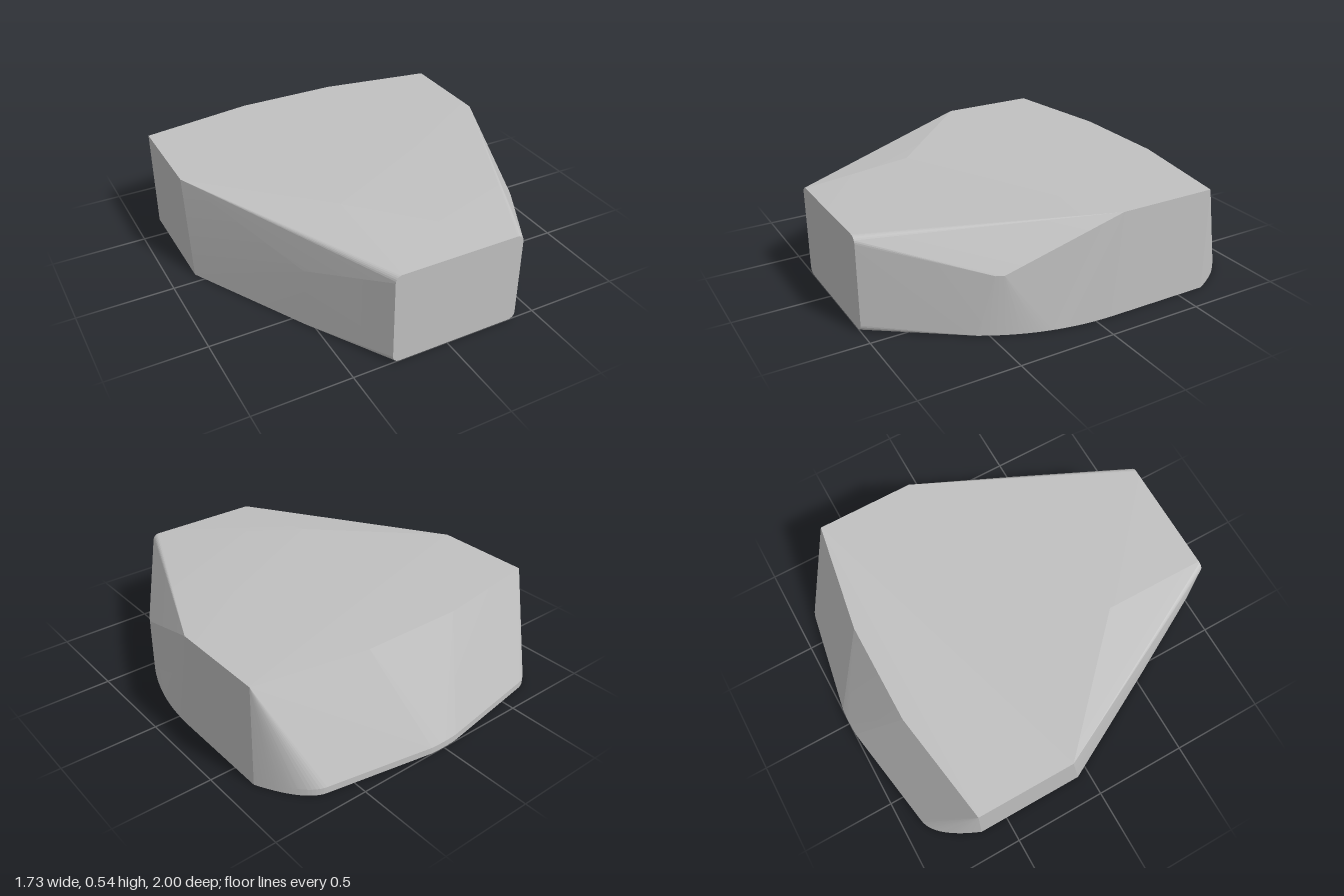
import * as THREE from 'three';
import { ConvexGeometry } from 'three/addons/geometries/ConvexGeometry.js';
import { toCreasedNormals } from 'three/addons/utils/BufferGeometryUtils.js';

const v2 = (x, z) => new THREE.Vector2(x, z);
const bend = (a, b, c, n) =>
  new THREE.QuadraticBezierCurve(v2(...a), v2(...b), v2(...c)).getPoints(n);

export function createModel() {
  const group = new THREE.Group();
  const grey = new THREE.MeshStandardMaterial({ color: 0xc0c0c0 });
  grey.name = 'plain grey';
  const points = [];
  const add = (x, y, z) => points.push(new THREE.Vector3(x, y, z));

  // footprint: rounded back corners, bowed left flank, straight right flank
  const bowedSide = bend([0.865, -0.1], [0.865, 0.25], [0.69, 0.55], 16);
  const footprint = [
    ...bend([-0.08, -0.997], [0, -1.003], [0.08, -0.997], 6),
    ...bend([0.64, -0.9], [0.75, -0.88], [0.865, -0.65], 14),
    ...bowedSide,
    v2(-0.53, 0.57),
    v2(-0.865, -0.06),
    ...bend([-0.865, -0.65], [-0.77, -0.88], [-0.66, -0.9], 14),
  ];
  for (const p of footprint) {
    add(p.x, 0, p.y);
    // low upright band behind, before the back slopes inward
    if (p.y < -0.6) add(p.x, 0.035, p.y);
  }

  // front end: upright rectangle with rounded corners
  const r = 0.035;
  for (const [cx, cy, start] of [[0.355, 0.455, 0], [-0.26, 0.455, 1], [-0.26, r, 2], [0.355, r, 3]]) {
    for (let i = 0; i <= 6; i++) {
      const a = (start + i / 6) * Math.PI / 2;
      add(cx + r * Math.cos(a), cy + r * Math.sin(a), 1);
    }
  }

  // shoulders where the flank chamfers begin
  for (const p of bowedSide.slice(13, 15)) add(p.x, 0.31, p.y);
  add(-0.53, 0.32, 0.57);

  // flat top plateau, running to a point towards the front
  for (const [x, z] of [[-0.865, -0.65], [-0.27, -0.745], [0.27, -0.745], [0.865, -0.65],
    [0.865, -0.13], [-0.27, 0.44], [-0.865, -0.13]]) add(x, 0.54, z);

  const block = new THREE.Mesh(toCreasedNormals(new ConvexGeometry(points), 0.075), grey);
  block.name = 'taperedBlock';
  group.add(block);
  return group;
}
